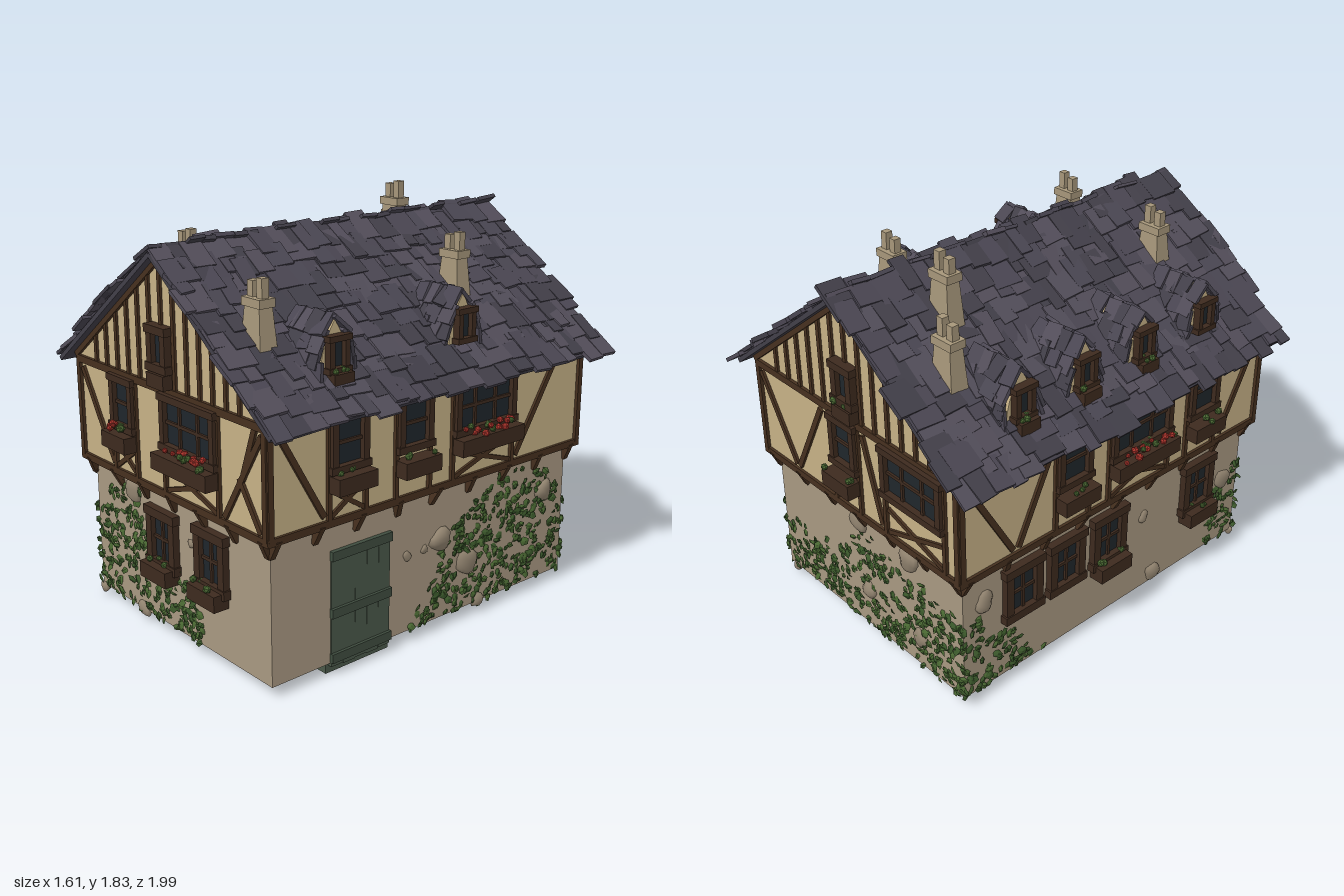
import * as THREE from 'three';
import { mergeGeometries } from 'three/addons/utils/BufferGeometryUtils.js';

const paint = (color, double) => new THREE.MeshStandardMaterial({
  color, flatShading: true, side: double ? THREE.DoubleSide : THREE.FrontSide });
const stoneMat = new THREE.MeshStandardMaterial({ color: 0x91836f });
const M = {
  plaster: paint(0xc6b186, true), wall: paint(0xa89881, true), timber: paint(0x46301f),
  frame: paint(0x3d2a1e), glass: paint(0x1f262b), door: paint(0x4a5849), doorBand: paint(0x3f4d3f),
  brick: paint(0xa6967a), red: paint(0xa8322a),
  leaf: [paint(0x486631, true), paint(0x3a572a, true)],
  slate: [paint(0x4a4652), paint(0x423f49), paint(0x524d59)],
};

let seed = 7;
const rnd = (a = 0, b = 1) => {
  seed = (seed * 16807) % 2147483647;
  return a + (b - a) * seed / 2147483647;
};

function mesh(parent, name, geo, mat, x = 0, y = 0, z = 0) {
  const m = new THREE.Mesh(geo, mat);
  m.name = name;
  m.position.set(x, y, z);
  parent.add(m);
  return m;
}
const box = (p, name, mat, w, h, d, x, y, z) => mesh(p, name, new THREE.BoxGeometry(w, h, d), mat, x, y, z);
const merged = (p, name, list, mat) => list.length && mesh(p, name, mergeGeometries(list), mat);

// Straight timber between two points of a wall
function beam(p, x1, y1, x2, y2, z, t = 0.026) {
  const b = box(p, 'timberBeam', M.timber, Math.hypot(x2 - x1, y2 - y1), t, 0.03, (x1 + x2) / 2, (y1 + y2) / 2, z);
  b.rotation.z = Math.atan2(y2 - y1, x2 - x1);
}

// Place a geometry by position, rotation and scale
const place = (geo, pos, rot, scale = [1, 1, 1]) => geo.applyMatrix4(new THREE.Matrix4().compose(
  new THREE.Vector3(...pos), new THREE.Quaternion().setFromEuler(new THREE.Euler(...rot)), new THREE.Vector3(...scale)));

// Framed window with glazing bars; the glass sits just outside the wall
function addWindow(p, x, y, w, h, z, cols, rows, t = 0.034) {
  const g = new THREE.Group();
  g.name = 'window';
  g.position.set(x, y, z);
  p.add(g);
  box(g, 'glass', M.glass, w - 0.02, h - 0.02, 0.006, 0, 0, 0.005);
  for (const s of [-1, 1]) {
    box(g, 'frameSide', M.frame, t, h, 0.05, s * (w - t) / 2, 0, 0.006);
    box(g, 'frameRail', M.frame, w + 0.016, t, 0.06, 0, s * (h - t) / 2, 0.006);
  }
  for (let i = 1; i < cols; i++) box(g, 'glazingBar', M.frame, 0.014, h, 0.028, (i / cols - 0.5) * w, 0, 0.004);
  for (let i = 1; i < rows; i++) box(g, 'glazingBar', M.frame, w, 0.014, 0.028, 0, (i / rows - 0.5) * h, 0.004);
}

// Planter with foliage and blossoms
function planter(p, x, y, w, z, blooms, h = 0.07, d = 0.075) {
  box(p, 'flowerBox', M.frame, w, h, d, x, y, z + d / 2);
  const red = [], green = [];
  for (let i = 0; i < (blooms ? w * 50 : 3); i++) {
    const at = [x + rnd(-0.42, 0.42) * w, y + h / 2 + rnd(0.005, blooms ? 0.04 : 0.02), z + d * rnd(0.3, 1)];
    const list = blooms && i % 3 ? red : green;
    list.push(place(new THREE.IcosahedronGeometry(rnd(0.011, 0.019), 0), at, [rnd(0, 3), rnd(0, 3), 0]));
  }
  merged(p, 'blossoms', red, M.red);
  merged(p, 'planterLeaves', green, M.leaf[0]);
}

// Rough field stone: a sphere dented by a simple wave
function stone(p, x, y, z, r) {
  const geo = new THREE.SphereGeometry(r, 10, 7), v = geo.attributes.position, k = rnd(0, 6);
  for (let i = 0; i < v.count; i++) {
    const q = 1 + 0.14 * Math.sin(v.getX(i) / r * 3 + k) + 0.12 * Math.sin(v.getY(i) / r * 4 + k * 2);
    v.setXYZ(i, v.getX(i) * q, v.getY(i) * q * 0.9, v.getZ(i) * q * 0.5);
  }
  geo.computeVertexNormals();
  mesh(p, 'wallStone', geo, stoneMat, x, y, z).rotation.z = rnd(-0.8, 0.8);
}

// Ivy fills the wall beneath a height line
function ivy(p, line, z) {
  const lists = [[], []];
  const top = x => {
    const i = Math.max(1, line.findIndex(q => q[0] >= x));
    const [a, b] = [line[i - 1], line[i]];
    return a[1] + (b[1] - a[1]) * (x - a[0]) / (b[0] - a[0]);
  };
  const x0 = line[0][0], x1 = line[line.length - 1][0];
  for (let i = 0; i < (x1 - x0) * 0.65 * 850; i++) {
    const x = rnd(x0, x1), y = rnd(0.05, 0.7);
    if (y > top(x) + rnd(-0.05, 0.03) || top(x) < 0.07) continue;
    lists[i % 2].push(place(new THREE.ConeGeometry(rnd(0.017, 0.027), 0.008, 5, 1, true), [x, y, z + rnd(0.004, 0.014)],
      [Math.PI / 2 + rnd(-0.4, 0.4), rnd(0, 6), rnd(-0.4, 0.4)], [1, 1, rnd(0.6, 0.9)]));
  }
  lists.forEach((l, i) => merged(p, 'ivy', l, M.leaf[i]));
}

// Dormer: pointed-arch face, small window, slates widening towards the back
function dormer(p, x, z, boxed) {
  const g = new THREE.Group();
  g.name = 'dormer';
  g.position.set(x, 1.24, z);
  p.add(g);
  const s = new THREE.Shape();
  s.moveTo(-0.08, -0.02);
  s.lineTo(0.08, -0.02);
  s.quadraticCurveTo(0.075, 0.13, 0, 0.235);
  s.quadraticCurveTo(-0.075, 0.13, -0.08, -0.02);
  mesh(g, 'dormerBody', new THREE.ExtrudeGeometry(s, { depth: 0.2, bevelEnabled: false, curveSegments: 6 }), M.plaster, 0, 0, -0.2);
  addWindow(g, 0, 0.105, 0.1, 0.15, 0.003, 1, 1, 0.024);
  if (boxed) planter(g, 0, 0.005, 0.1, 0, false, 0.06, 0.06);
  const lists = [[], [], []];
  for (const side of [-1, 1]) for (let r = 0; r < 4; r++) for (let c = 0; c < 4; c++) {
    const a = [0.092, 0.084, 0.064, 0.03][r] * (1 + 0.06 * c), lean = [0.08, 0.25, 0.45, 0.65][r];
    lists[(r + c) % 3].push(place(new THREE.BoxGeometry(0.016, rnd(0.085, 0.105), rnd(0.06, 0.08)),
      [side * a, 0.035 + r * 0.06, -0.025 - c * 0.06 + rnd(-0.015, 0.015)],
      [rnd(-0.2, 0.2), rnd(-0.15, 0.15), side * (lean + rnd(-0.04, 0.2))]));
  }
  lists.forEach((l, i) => merged(g, 'dormerSlates', l, M.slate[i]));
}

// One side of the house; local x runs along the wall, z points outward
function facade(root, o) {
  const g = new THREE.Group();
  g.name = o.name;
  g.rotation.y = o.turn;
  root.add(g);
  const { low, lowZ } = o, up = low + 0.034, upZ = lowZ + 0.034, bz = upZ;
  mesh(g, 'lowerWall', new THREE.PlaneGeometry(low * 2, 0.64), M.wall, 0, 0.37, lowZ);
  const outline = [[-up, 0.68], [up, 0.68], [up, 1.15], ...(o.gable ? [[0, 1.69]] : []), [-up, 1.15]];
  const s = new THREE.Shape(outline.map(q => new THREE.Vector2(...q)));
  mesh(g, 'upperWall', new THREE.ShapeGeometry(s), M.plaster, 0, 0, upZ);
  // Main frame and jetty brackets
  box(g, 'sillBeam', M.timber, up * 2 + 0.024, 0.032, 0.05, 0, 0.685, upZ - 0.012);
  beam(g, -up, 1.135, up, 1.135, bz, 0.032);
  for (const e of [-1, 1]) beam(g, e * (up - 0.005), 0.69, e * (up - 0.005), 1.14, bz);
  const n = Math.round(low / 0.105);
  for (let i = 0; i <= n; i++) {
    const b = box(g, 'jettyBracket', M.timber, 0.026, 0.09, 0.028, (i / n * 2 - 1) * (low - 0.005), 0.645, lowZ + 0.018);
    b.rotation.set(0.45, 0, rnd(-0.25, 0.25));
  }
  // Upper windows: [x, width, columns, planter (0 none, 1 plain, 2 in bloom), cross brace]
  for (const [x, w, cols, box_, cross] of o.upper) {
    addWindow(g, x, 1.01, w, 0.24, upZ, cols, 2, 0.03);
    if (box_) planter(g, x, cross ? 0.85 : 0.83, w + 0.01, upZ, box_ > 1);
    for (const e of [-1, 1]) {
      beam(g, x + e * w / 2, 0.7, x + e * w / 2, 1.13, bz, 0.02);
      if (cross) beam(g, x - e * w * 0.46, 0.71, x + e * w * 0.46, 0.82, bz - 0.004, 0.02);
    }
  }
  // Lower windows: [x, y, planter]
  for (const [x, y, boxed] of o.lower) {
    addWindow(g, x, y, 0.205, 0.27, lowZ, 2, 2, 0.04);
    if (boxed) planter(g, x, y - 0.145, 0.19, lowZ, false);
  }
  for (const d of o.braces) beam(g, ...d, bz - 0.003);
  // Gable studs, rake timbers and attic window
  if (o.gable) {
    for (let x = -0.51; x < 0.55; x += 0.085) {
      beam(g, x, Math.abs(x) < 0.07 ? 1.4 : 1.15, x, 1.69 - 0.76 * Math.abs(x), bz - 0.004, 0.02);
    }
    for (const e of [-1, 1]) beam(g, 0, 1.67, e * 0.68, 1.15, bz, 0.03);
    addWindow(g, 0.005, 1.31, 0.13, 0.19, upZ + 0.01, 1, 1);
    planter(g, 0.005, 1.18, 0.12, upZ, false, 0.06, 0.05);
  }
  for (const [x, y, r] of o.stones) stone(g, x, y, lowZ, r);
  ivy(g, o.ivy, lowZ);
  for (const [x, boxed] of o.dormers || []) dormer(g, x, 0.605, boxed);
  return g;
}

// Plank door with ledges and a threshold set into the wall
function door(p, x, z) {
  for (let i = 0; i < 5; i++) box(p, 'doorPlank', M.door, 0.063, 0.5 + (i % 2) * 0.008, 0.03, x + (i - 2) * 0.064, 0.285, z - 0.008);
  for (const y of [0.075, 0.275, 0.525]) box(p, 'doorLedge', M.doorBand, 0.325, 0.04, 0.02, x, y, z + 0.01);
  box(p, 'threshold', M.door, 0.345, 0.05, 0.06, x, 0.025, z - 0.045);
}

// Tapered stack with cap and two pots
function chimney(p, x, z, top) {
  const g = new THREE.Group();
  g.name = 'chimney';
  g.position.set(x, 0, z);
  p.add(g);
  const foot = 1.61 - 0.76 * Math.abs(x), h = top - 0.1 - foot;
  const stack = new THREE.CylinderGeometry(0.044, 0.066, h, 4).rotateY(Math.PI / 4).scale(1.45, 1, 1);
  mesh(g, 'stack', stack, M.brick, 0, foot + h / 2, 0);
  box(g, 'cap', M.brick, 0.115, 0.035, 0.076, 0, top - 0.095, 0);
  for (const e of [-1, 1]) box(g, 'chimneyPot', M.brick, 0.034, e > 0 ? 0.08 : 0.065, 0.034, e * 0.028, top - (e > 0 ? 0.04 : 0.0475), 0);
}

// Pitched roof of rough overlapping slates on two boards
function roof(root) {
  const g = new THREE.Group();
  g.name = 'roof';
  root.add(g);
  const a = Math.atan(0.76), lists = [[], [], []];
  for (const s of [-1, 1]) {
    const at = t => [s * t * Math.cos(a), 1.7 - t * Math.sin(a)];
    const [bx, by] = at(0.47);
    box(g, 'roofBoard', M.slate[1], 0.94, 0.02, 1.9, bx, by - 0.01, 0).rotation.z = -s * a;
    for (let r = 0; r < 11; r++) {
      const end = rnd(0.94, 0.985);
      for (let z = -1 + rnd(0, 0.06); z < end - 0.03;) {
        const w = Math.min(rnd(0.05, 0.13), end - z);
        const [x, y] = at(0.055 + r * 0.085 + rnd(-0.025, 0.025));
        lists[Math.floor(rnd(0, 3))].push(place(new THREE.BoxGeometry(rnd(0.12, 0.17), rnd(0.012, 0.02), w + rnd(0, 0.012)),
          [x, y + 0.012 + rnd(0, 0.012), z + w / 2], [rnd(-0.07, 0.07), rnd(-0.07, 0.07), -s * (a - rnd(0, 0.1))]));
        z += w;
      }
    }
  }
  lists.forEach((l, i) => merged(g, 'roofSlates', l, M.slate[i]));
}

export function createModel() {
  const root = new THREE.Group();
  root.name = 'timberedHouse';
  facade(root, {
    name: 'frontSide', turn: 0, low: 0.63, lowZ: 0.865, gable: true,
    upper: [[-0.3, 0.17, 1, 2, true], [0.18, 0.37, 3, 2, true]], lower: [[-0.09, 0.45, true], [0.26, 0.47, true]],
    braces: [[-0.63, 1.1, -0.4, 0.72], [0.64, 1.1, 0.4, 0.71], [0.6, 1.12, 0.52, 0.9], [0.5, 0.9, 0.63, 0.71]],
    stones: [[-0.33, 0.6, 0.055], [0.1, 0.49, 0.022], [-0.28, 0.05, 0.04], [-0.62, 0.04, 0.03]],
    ivy: [[-0.64, 0.45], [-0.5, 0.57], [-0.38, 0.65], [-0.25, 0.6], [-0.2, 0.36], [0.05, 0.33], [0.16, 0.2], [0.2, 0.06]],
  });
  const left = facade(root, {
    name: 'leftHandSide', turn: Math.PI / 2, low: 0.865, lowZ: 0.63,
    upper: [[-0.51, 0.19, 1, 1, true], [-0.155, 0.19, 1, 1, false], [0.26, 0.37, 3, 2, true]], lower: [],
    braces: [[-0.85, 1.1, -0.63, 0.72], [0.71, 1.1, 0.47, 0.72]],
    stones: [[0.05, 0.42, 0.06], [-0.14, 0.4, 0.024], [-0.04, 0.4, 0.02], [0.22, 0.27, 0.06], [0.73, 0.48, 0.055], [0.3, 0.06, 0.04]],
    ivy: [[-0.14, 0.06], [0, 0.25], [0.1, 0.45], [0.25, 0.55], [0.45, 0.62], [0.6, 0.65], [0.75, 0.56], [0.87, 0.45]],
    dormers: [[-0.52, true], [0.18, false]],
  });
  door(left, -0.405, 0.63);
  facade(root, {
    name: 'backSide', turn: Math.PI, low: 0.63, lowZ: 0.865, gable: true,
    upper: [[-0.04, 0.17, 1, 1, false], [0.4, 0.37, 3, 0, true]], lower: [],
    braces: [[-0.64, 1.1, -0.42, 0.72], [-0.2, 1.1, -0.4, 0.72], [0.08, 1.1, 0.19, 0.72]],
    stones: [[-0.05, 0.6, 0.055], [0.3, 0.58, 0.06], [0, 0.25, 0.05], [0.35, 0.2, 0.045], [-0.58, 0.05, 0.03]],
    ivy: [[-0.64, 0.4], [-0.4, 0.3], [-0.15, 0.42], [-0.05, 0.58], [0.2, 0.5], [0.64, 0.46]],
  });
  facade(root, {
    name: 'rightHandSide', turn: -Math.PI / 2, low: 0.865, lowZ: 0.63,
    upper: [[-0.3, 0.19, 1, 1, false], [0.1, 0.37, 3, 2, true], [0.5, 0.19, 1, 1, false]],
    lower: [[-0.55, 0.47, false], [-0.3, 0.47, false], [-0.04, 0.47, true], [0.55, 0.47, true]],
    braces: [[-0.85, 1.1, -0.63, 0.72], [-0.42, 1.1, -0.6, 0.72], [0.84, 1.1, 0.64, 0.72]],
    stones: [[0.28, 0.1, 0.05], [0.75, 0.4, 0.05], [-0.75, 0.5, 0.05], [0.2, 0.45, 0.03]],
    ivy: [[-0.87, 0.45], [-0.65, 0.34], [-0.4, 0.06], [0.62, 0.06], [0.72, 0.4], [0.87, 0.5]],
    dormers: [[-0.53, true], [-0.19, true], [0.15, true], [0.53, false]],
  });
  roof(root);
  [[-0.39, -0.7, 1.67], [-0.2, -0.55, 1.83], [0.36, -0.38, 1.68], [-0.27, 0.58, 1.72], [0.42, 0.74, 1.64]]
    .forEach(c => chimney(root, ...c));
  return root;
}
